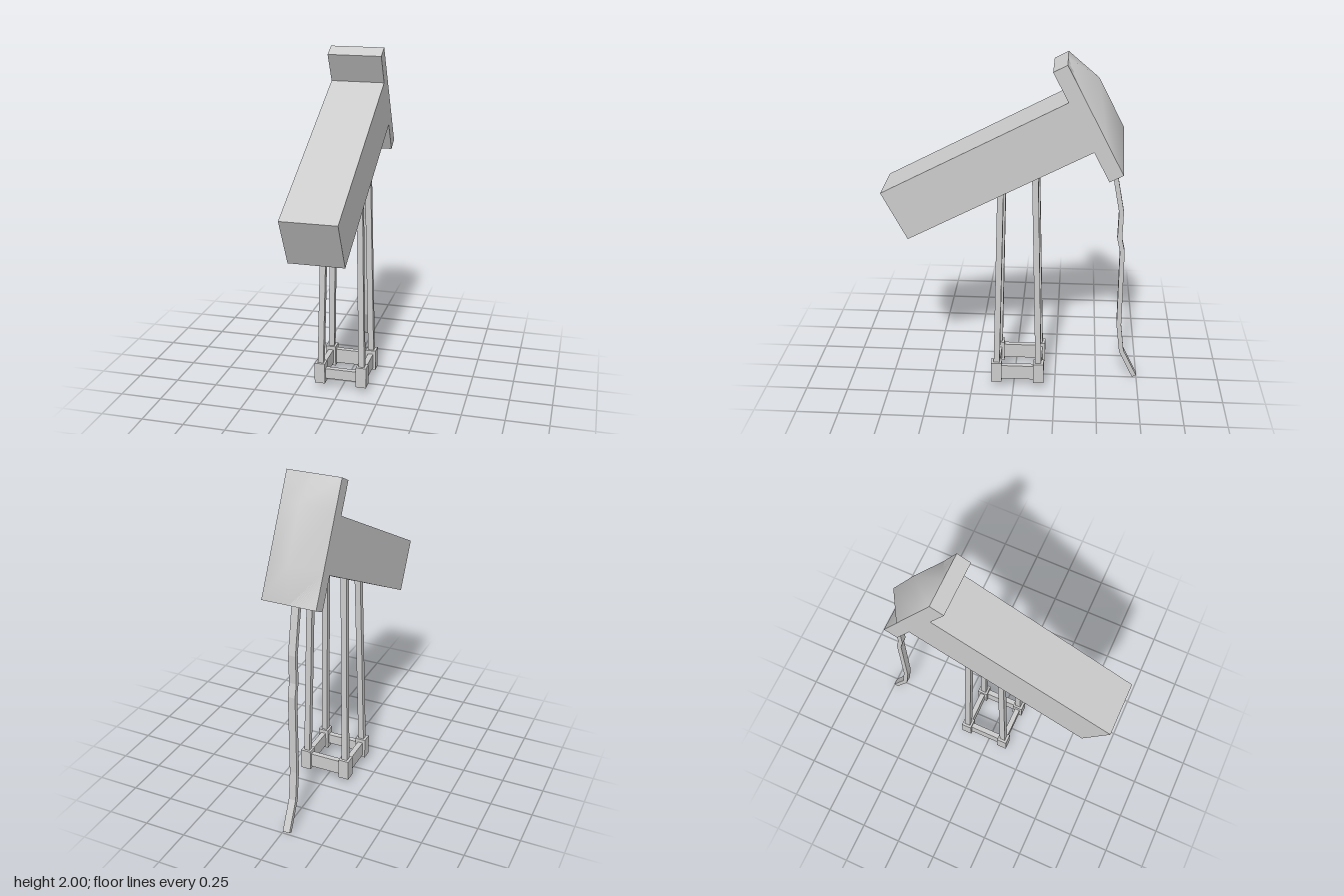
import * as THREE from 'three';

const material = new THREE.MeshStandardMaterial({ color: 0xcccccc });

function add(parent, name, geometry, x = 0, y = 0, z = 0) {
  const mesh = new THREE.Mesh(geometry, material);
  mesh.name = name;
  mesh.position.set(x, y, z);
  parent.add(mesh);
  return mesh;
}

const box = (w, h, d) => new THREE.BoxGeometry(w, h, d);

// Square bar running between two points
function bar(parent, name, a, b, size) {
  const dir = b.clone().sub(a);
  const mesh = add(parent, name, box(size, dir.length(), size));
  mesh.position.copy(a).add(b).multiplyScalar(0.5);
  mesh.quaternion.setFromUnitVectors(new THREE.Vector3(0, 1, 0), dir.normalize());
}

// Shallow ridge on the back of the head, raised along its middle
function domeGeometry(width, height) {
  const geometry = new THREE.PlaneGeometry(width, height, 2, 3).rotateY(Math.PI);
  const rows = [height / 2, 0.1735, -0.14, -height / 2];
  const pos = geometry.attributes.position;
  for (let i = 0; i < pos.count; i++) {
    const row = Math.floor(i / 3);
    const raised = i % 3 === 1 && (row === 1 || row === 2);
    pos.setY(i, rows[row]);
    pos.setZ(i, raised ? -0.103 : 0);
  }
  geometry.computeVertexNormals();
  return geometry;
}

// Bent strip with a rectangular section, following a side path of [z, y] points
function stripGeometry(path, thickness, width) {
  const points = path.map(([z, y]) => new THREE.Vector2(-z, y));
  const front = [], back = [];
  points.forEach((p, i) => {
    const next = points[Math.min(i + 1, points.length - 1)];
    const prev = points[Math.max(i - 1, 0)];
    const t = next.clone().sub(prev).normalize();
    const n = new THREE.Vector2(-t.y, t.x).multiplyScalar(thickness / 2);
    front.push(p.clone().add(n));
    back.unshift(p.clone().sub(n));
  });
  const shape = new THREE.Shape([...front, ...back]);
  return new THREE.ExtrudeGeometry(shape, { depth: width, bevelEnabled: false })
    .translate(0, 0, -width / 2)
    .rotateY(Math.PI / 2);
}

export function createModel() {
  const model = new THREE.Group();
  model.name = 'model';

  // Tilted body and head
  const upper = new THREE.Group();
  upper.name = 'tiltedBody';
  upper.position.set(-0.0025, 1.6925, -0.45);
  upper.rotation.x = 0.48;
  model.add(upper);
  add(upper, 'body', box(0.317, 0.314, 1.188), 0, 0.003, 0.676);
  add(upper, 'headPlate', box(0.317, 0.693, 0.087), 0, 0, 0.0435);
  add(upper, 'headDome', domeGeometry(0.317, 0.693));

  // Legs leaning inwards, each in a block foot
  const feet = { front: [0.103, 0.074, 1.27], back: [-0.151, -0.121, 1.37] };
  for (const [end, [z, topZ, topY]] of Object.entries(feet)) {
    for (const side of [-1, 1]) {
      const label = end + (side > 0 ? 'Left' : 'Right');
      const x = 0.0025 + side * 0.127;
      bar(model, label + 'Leg', new THREE.Vector3(x, 0.1, z),
        new THREE.Vector3(0.0025 + side * 0.103, topY, topZ), 0.035);
      add(model, label + 'Foot', box(0.063, 0.127, 0.063), x, 0.1, z);
    }
  }

  // Rails joining the feet
  add(model, 'frontRail', box(0.22, 0.063, 0.032), 0.0025, 0.096, 0.103);
  add(model, 'backRail', box(0.22, 0.09, 0.032), 0.0025, 0.096, -0.151);
  for (const side of [-1, 1]) {
    add(model, side > 0 ? 'leftRail' : 'rightRail', box(0.032, 0.09, 0.22),
      0.0025 + side * 0.127, 0.096, -0.024);
  }

  // Hanging strip behind the head
  const path = [[-0.56, 1.385], [-0.577, 1.3], [-0.615, 1.1], [-0.612, 0.93],
    [-0.63, 0.85], [-0.63, 0.36], [-0.652, 0.18], [-0.737, 0.007]];
  add(model, 'tail', stripGeometry(path, 0.028, 0.043), -0.025, 0, 0);

  return model;
}
